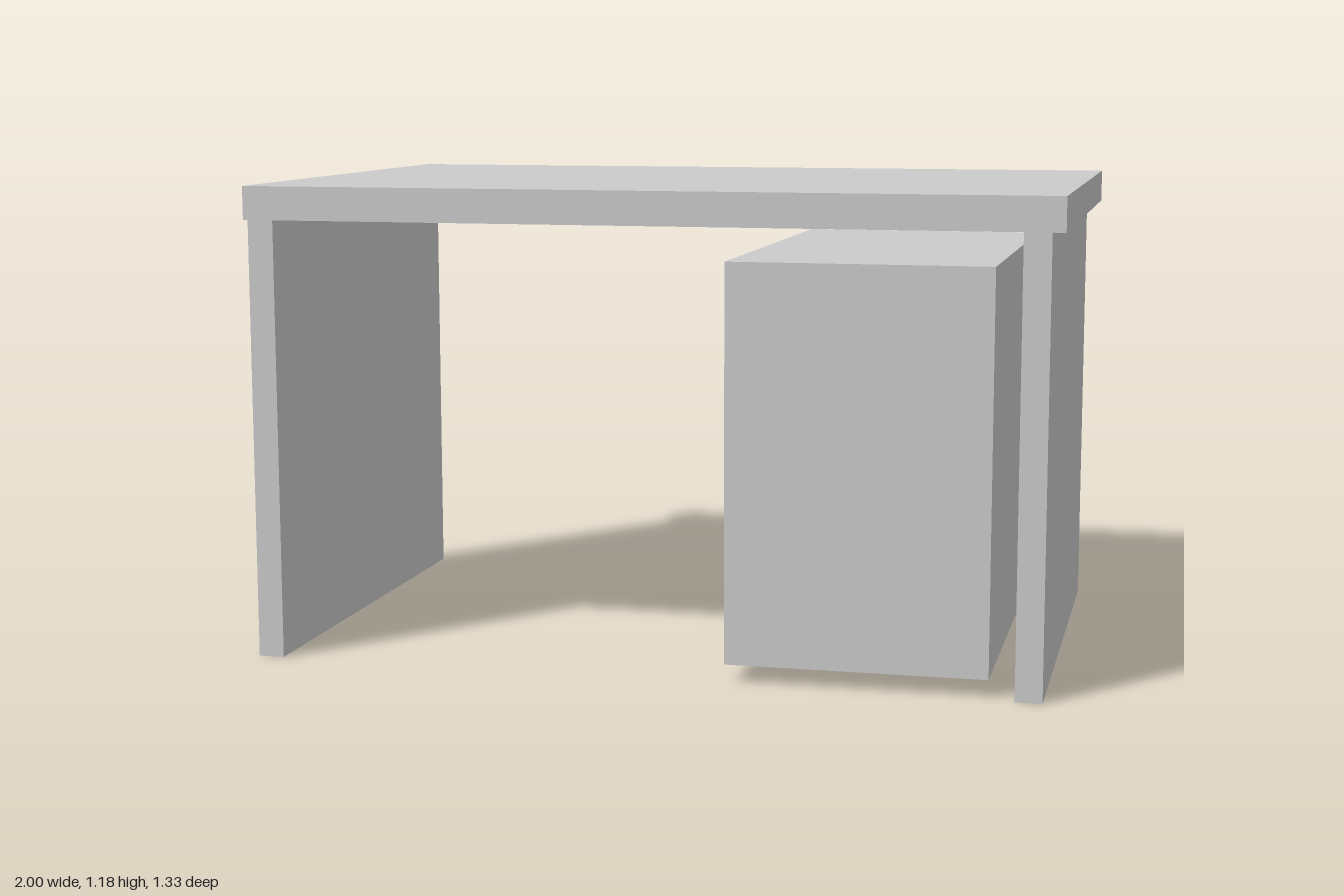
import * as THREE from 'three';

export function createModel() {
  const desk = new THREE.Group();
  desk.name = 'desk';
  const material = new THREE.MeshStandardMaterial({ color: 0xcccccc, flatShading: true });

  // Box given by its lower and upper bounds on each axis
  function addBox(parent, name, [x0, x1], [y0, y1], [z0, z1]) {
    const mesh = new THREE.Mesh(new THREE.BoxGeometry(x1 - x0, y1 - y0, z1 - z0), material);
    mesh.position.set((x0 + x1) / 2, (y0 + y1) / 2, (z0 + z1) / 2);
    mesh.name = name;
    parent.add(mesh);
  }

  // Desktop and the two side panels that carry it
  addBox(desk, 'desktop', [-1, 1], [1.1, 1.183], [-0.667, 0.667]);
  addBox(desk, 'leftSidePanel', [0.903, 0.968], [0, 1.1], [-0.549, 0.655]);
  addBox(desk, 'rightSidePanel', [-0.995, -0.93], [0, 1.1], [-0.553, 0.651]);

  // Drawer cabinet, opening towards the sitter at the back
  const cabinet = new THREE.Group();
  cabinet.name = 'drawerCabinet';
  addBox(cabinet, 'cabinetCase', [0.203, 0.84], [0.045, 1.018], [-0.5, 0.64]);

  // Drawer fronts stand slightly proud of the case, with narrow gaps between them
  const drawerHeights = [[0.063, 0.47], [0.485, 0.75], [0.765, 1.01]];
  drawerHeights.forEach((heights, i) =>
    addBox(cabinet, `drawerFront${i + 1}`, [0.205, 0.838], heights, [-0.52, -0.5]));
  desk.add(cabinet);

  return desk;
}
